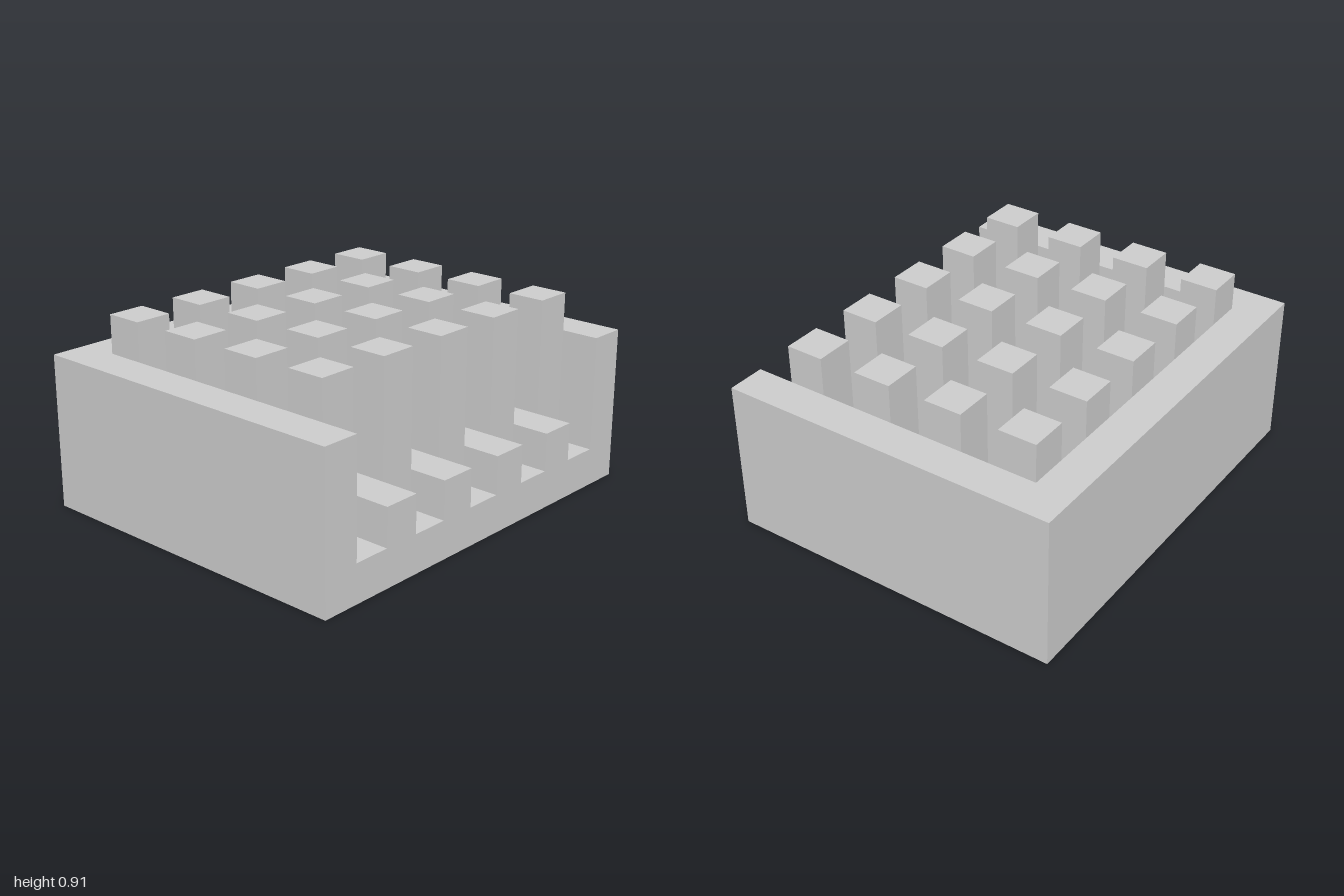
import * as THREE from 'three';

const U = 2 / 11; // module size: the block is 11 wide, 9 deep, 4 high
const material = new THREE.MeshStandardMaterial({ color: 0xcccccc, flatShading: true });

function add(group, name, geometry, x, y, z) {
  const mesh = new THREE.Mesh(geometry, material);
  mesh.name = name;
  mesh.position.set(x, y, z);
  group.add(mesh);
}

export function createModel() {
  const model = new THREE.Group();
  model.name = 'finnedBlock';

  // Grooved base: side walls, five channels and four low ridges, open at the front
  const points = [[0, 0], [11, 0], [11, 4], [10, 4]];
  for (let i = 4; i >= 0; i--) {
    const left = 1 + 2 * i;
    const rise = i === 0 ? 4 : 2;
    points.push([left + 1, 1], [left, 1], [left, rise]);
    if (i > 0) points.push([left - 1, rise]);
  }
  points.push([0, 4]);
  const profile = new THREE.Shape(points.map(([x, y]) => new THREE.Vector2((x - 5.5) * U, y * U)));
  const baseGeometry = new THREE.ExtrudeGeometry(profile, { depth: 8 * U, bevelEnabled: false });
  add(model, 'groovedBase', baseGeometry, 0, 0, -3.5 * U);

  // Solid wall closing the channels at the back
  add(model, 'backWall', new THREE.BoxGeometry(11 * U, 4 * U, U), 0, 2 * U, -4 * U);

  // Square posts standing in the channels
  const posts = new THREE.Group();
  posts.name = 'posts';
  const postGeometry = new THREE.BoxGeometry(U, 4 * U, U);
  for (let col = -2; col <= 2; col++) {
    for (let row = 0; row < 4; row++) {
      add(posts, 'post', postGeometry, col * 2 * U, 3 * U, (row * 2 - 3) * U);
    }
  }
  model.add(posts);

  return model;
}
